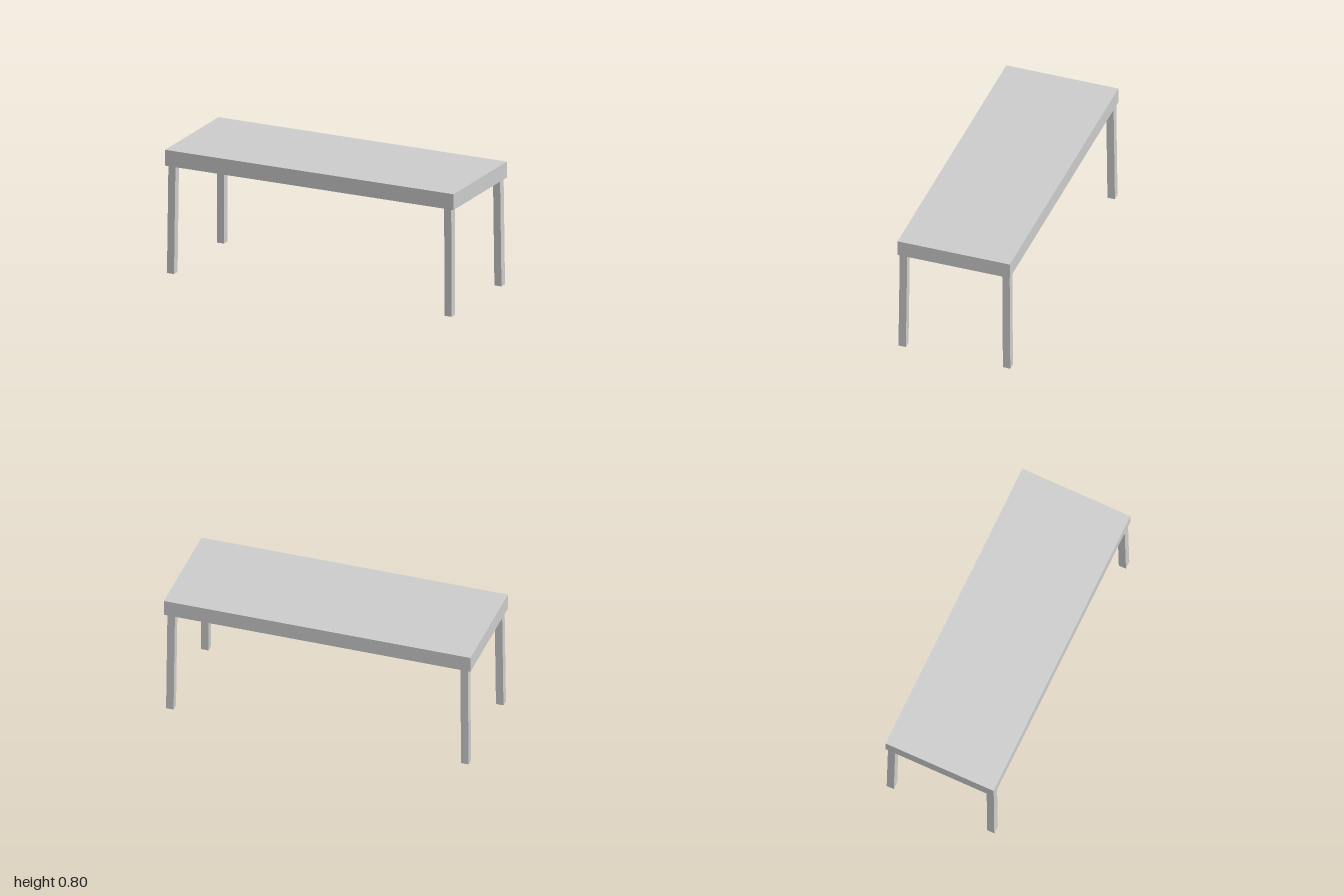
import * as THREE from 'three';

const TOP_Y = 0.8, UNDERSIDE_Y = 0.697, DEPTH = 0.738;
const LEG_WIDTH = 0.049, LEG_SPLAY = 0.0065;

// Square leg, hollow at the ends, whose foot leans outward along both axes
function legGeometry(sx, sz) {
  const g = new THREE.CylinderGeometry(LEG_WIDTH / Math.SQRT2, LEG_WIDTH / Math.SQRT2, UNDERSIDE_Y, 4, 1, true);
  g.rotateY(Math.PI / 4);
  g.translate(0, UNDERSIDE_Y / 2, 0);
  const p = g.attributes.position;
  for (let i = 0; i < p.count; i++) {
    const lean = LEG_SPLAY * (1 - p.getY(i) / UNDERSIDE_Y);
    p.setX(i, p.getX(i) + sx * lean);
    p.setZ(i, p.getZ(i) + sz * lean);
  }
  g.computeVertexNormals();
  return g;
}

export function createModel() {
  const model = new THREE.Group();
  model.name = 'table';
  const topMaterial = new THREE.MeshStandardMaterial({ color: 0xcccccc, flatShading: true });
  const legMaterial = new THREE.MeshStandardMaterial({ color: 0xcccccc, flatShading: true, side: THREE.DoubleSide });

  // Thick rectangular slab
  const top = new THREE.Mesh(new THREE.BoxGeometry(2, TOP_Y - UNDERSIDE_Y, DEPTH), topMaterial);
  top.name = 'tableTop';
  top.position.y = (TOP_Y + UNDERSIDE_Y) / 2;
  model.add(top);

  // One leg in each corner
  for (const sx of [-1, 1]) {
    for (const sz of [-1, 1]) {
      const leg = new THREE.Mesh(legGeometry(sx, sz), legMaterial);
      leg.name = (sz > 0 ? 'front' : 'back') + (sx > 0 ? 'Left' : 'Right') + 'Leg';
      leg.position.set(sx * 0.956, 0, sz * 0.337);
      model.add(leg);
    }
  }
  return model;
}
